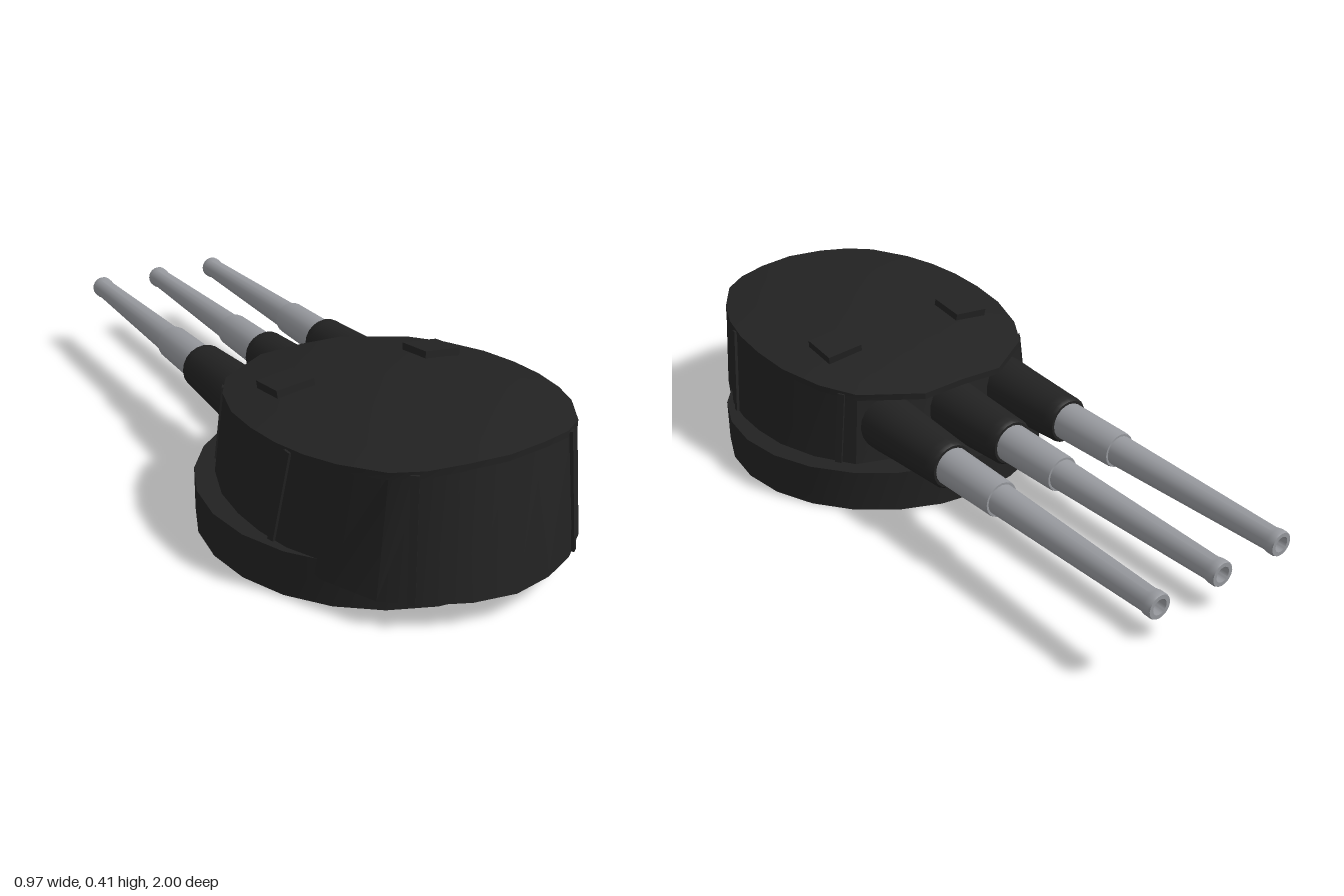
import * as THREE from 'three';
import { toCreasedNormals } from 'three/addons/utils/BufferGeometryUtils.js';

const armour = new THREE.MeshStandardMaterial({ color: 0x222222 });
armour.name = 'dark armour';
const steel = new THREE.MeshStandardMaterial({ color: 0x96989d });
steel.name = 'barrel steel';

// Half outline of the gunhouse, rear to front: top x, top z, bottom x, bottom z
const half = [
  [0, 0.94, 0, 1.0], [0.11, 0.925, 0.11, 0.98], [0.2, 0.9, 0.21, 0.935],
  [0.27, 0.855, 0.3, 0.865], [0.34, 0.75, 0.365, 0.72], [0.375, 0.66, 0.405, 0.63],
  [0.395, 0.56, 0.425, 0.53], [0.4, 0.45, 0.43, 0.43], [0.39, 0.33, 0.42, 0.32],
  [0.35, 0.2, 0.38, 0.2], [0.29, 0.1, 0.31, 0.09], [0.13, 0.06, 0.14, 0.03], [0, 0.06, 0, 0.02],
];
const outline = [...half, ...half.slice(1, -1).reverse().map(([a, b, c, d]) => [-a, b, -c, d])];

const roofY = (x, z) => 0.415 - 0.165 * (z - 0.7) ** 2 - 0.27 * x * x;
const floorY = (z) => (z > 0.68 ? 0.07 : 0.12);
const topPoint = ([x, z]) => new THREE.Vector3(x, roofY(x, z) - 0.008, z);
const bottomPoint = ([, , x, z]) => new THREE.Vector3(x, floorY(z), z);

// Skin a stack of closed rings of points
function loft(rings) {
  const n = rings[0].length;
  const index = [];
  for (let r = 0; r < rings.length - 1; r++) {
    for (let i = 0; i < n; i++) {
      const a = r * n + i, b = r * n + (i + 1) % n;
      index.push(a, b, b + n, a, b + n, a + n);
    }
  }
  const g = new THREE.BufferGeometry().setFromPoints(rings.flat());
  g.setIndex(index);
  return toCreasedNormals(g, 0.5);
}

function add(parent, name, geometry, material = armour) {
  const mesh = new THREE.Mesh(geometry, material);
  mesh.name = name;
  parent.add(mesh);
  return mesh;
}

// Raised joint strip lying on the sloping wall at outline position t
function addStrip(parent, t, side) {
  const i = Math.floor(t), f = t - i;
  const bottom = bottomPoint(half[i]).lerp(bottomPoint(half[i + 1]), f);
  const top = topPoint(half[i]).lerp(topPoint(half[i + 1]), f);
  const along = bottomPoint(half[i + 1]).sub(bottomPoint(half[i])).setY(0);
  for (const v of [bottom, top, along]) v.x *= side;
  const up = top.clone().sub(bottom);
  const length = up.length();
  up.normalize();
  const out = along.multiplyScalar(side).cross(up).normalize();
  const right = up.clone().cross(out);
  const strip = add(parent, 'jointStrip', new THREE.BoxGeometry(0.02, length, 0.016));
  strip.quaternion.setFromRotationMatrix(new THREE.Matrix4().makeBasis(right, up, out));
  strip.position.copy(bottom).add(top).multiplyScalar(0.5);
}

// Lathe about the gun axis, profile given as radius and distance forward
function gunLathe(profile, segments) {
  const g = new THREE.LatheGeometry(profile.map(([r, d]) => new THREE.Vector2(r, d)), segments);
  return toCreasedNormals(g.rotateX(-Math.PI / 2), 0.6);
}

export function createModel() {
  const model = new THREE.Group();
  model.name = 'gunTurret';

  // Round base
  const base = add(model, 'barbette',
    toCreasedNormals(new THREE.CylinderGeometry(0.485, 0.485, 0.122, 24), 0.5));
  base.position.set(0, 0.061, 0.4);

  // Sloping walls with the overhanging rear floor
  const bottom = outline.map(bottomPoint);
  const inner = bottom.map((p) => new THREE.Vector3(p.x * 0.75, p.y, 0.4 + (p.z - 0.4) * 0.75));
  add(model, 'gunhouseWalls', loft([inner, bottom, outline.map(topPoint)]));

  // Domed roof plate with a lip over the guns
  const roofRing = (scale, drop) => outline.map(([x, z]) => {
    const edge = z < 0.08 ? 0 : z;
    const px = x * scale, pz = 0.45 + (edge - 0.45) * scale;
    return new THREE.Vector3(px, roofY(px, pz) - drop, pz);
  });
  add(model, 'roof', loft([
    roofRing(0.7, 0.018), roofRing(1.003, 0.018),
    ...[1.003, 0.8, 0.6, 0.4, 0.2, 0].map((s) => roofRing(s, 0)),
  ]));

  for (const side of [-1, 1]) {
    // Wall joints
    for (const t of [2.3, 5.5, 9.6]) addStrip(model, t, side);
    // Roof hatches
    const hatch = add(model, 'hatch', new THREE.BoxGeometry(0.11, 0.03, 0.11));
    hatch.position.set(side * 0.225, roofY(0.225, 0.31) + 0.004, 0.31);
    hatch.rotation.set(-0.12, 0, -0.1 * side);
  }

  // Three guns with sleeves
  for (const x of [-0.205, 0, 0.205]) {
    const gun = new THREE.Group();
    gun.name = 'gun';
    gun.position.set(x, 0.227, 0);
    add(gun, 'sleeve', gunLathe([
      [0, -0.16], [0.082, -0.13], [0.083, -0.06], [0.078, 0.02],
      [0.069, 0.19], [0.068, 0.215], [0.062, 0.225], [0, 0.225],
    ], 20));
    add(gun, 'barrel', gunLathe([
      [0.055, 0.2], [0.051, 0.425], [0.049, 0.433], [0.043, 0.433],
      [0.031, 0.965], [0.034, 0.98], [0.034, 0.995], [0.032, 1.0],
      [0.021, 1.0], [0.02, 0.94], [0, 0.94],
    ], 20), steel);
    model.add(gun);
  }
  return model;
}
